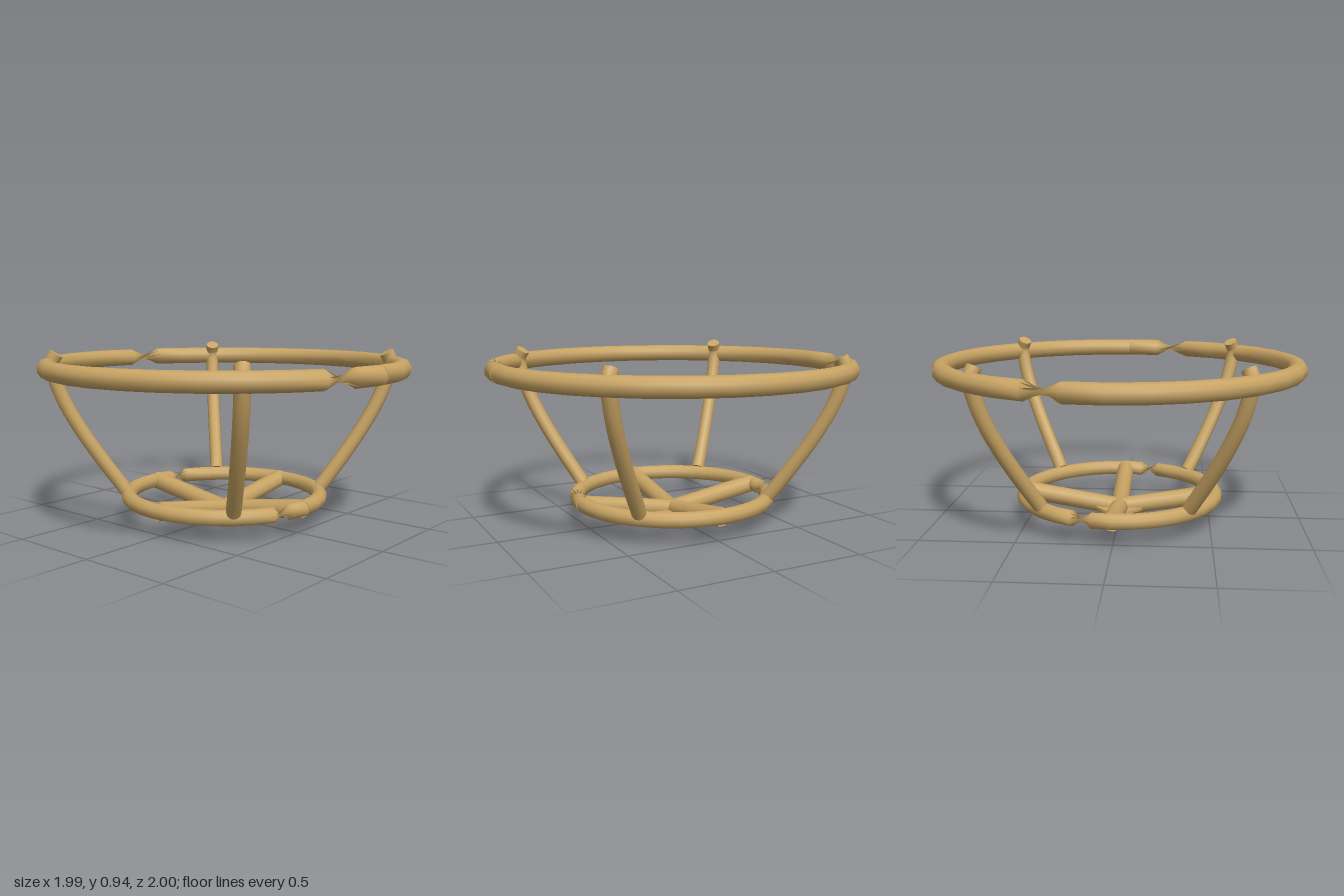
import * as THREE from 'three';

const SIDES = 10;
const material = new THREE.MeshStandardMaterial({ color: 0xc8a464, side: THREE.DoubleSide });
const V = (x, y, z) => new THREE.Vector3(x, y, z);

// Capped round bar along a planar path; ref is perpendicular to the path's plane.
// flip(i) may return -1 to turn a section by half a turn.
function bar(name, points, radius, ref, flip = () => 1) {
  const positions = [], index = [], last = points.length - 1;
  points.forEach((p, i) => {
    const tangent = points[Math.min(i + 1, last)].clone().sub(points[Math.max(i - 1, 0)]).normalize();
    const n = ref.clone().multiplyScalar(flip(i));
    const b = tangent.cross(n);
    for (let j = 0; j < SIDES; j++) {
      const t = (j / SIDES) * Math.PI * 2;
      const q = p.clone().addScaledVector(n, radius * Math.cos(t)).addScaledVector(b, radius * Math.sin(t));
      positions.push(q.x, q.y, q.z);
    }
  });
  for (let i = 0; i < last; i++) {
    for (let j = 0; j < SIDES; j++) {
      const k = (j + 1) % SIDES;
      const a = i * SIDES + j, b = i * SIDES + k, c = b + SIDES, d = a + SIDES;
      index.push(a, b, c, a, c, d);
    }
  }
  // End caps with their own vertices, so that the rims stay sharp
  for (const s of [0, last]) {
    const start = positions.length / 3;
    positions.push(...positions.slice(s * SIDES * 3, (s + 1) * SIDES * 3));
    for (let j = 1; j < SIDES - 1; j++) {
      if (s === 0) index.push(start, start + j + 1, start + j);
      else index.push(start, start + j, start + j + 1);
    }
  }
  const geometry = new THREE.BufferGeometry();
  geometry.setAttribute('position', new THREE.Float32BufferAttribute(positions, 3));
  geometry.setIndex(index);
  geometry.computeVertexNormals();
  const mesh = new THREE.Mesh(geometry, material);
  mesh.name = name;
  return mesh;
}

// Ring of 32 segments, pinched by a half twist at two opposite segments
function ring(name, R, radius, y) {
  const points = [];
  for (let i = 0; i <= 32; i++) {
    const a = (i / 32) * Math.PI * 2;
    points.push(V(R * Math.cos(a), y, R * Math.sin(a)));
  }
  return bar(name, points, radius, V(0, 1, 0), (i) => (i >= 2 && i <= 17 ? 1 : -1));
}

export function createModel() {
  const group = new THREE.Group();
  group.name = 'basketFrame';

  group.add(ring('topRing', 0.95, 0.05, 0.85));
  group.add(ring('bottomRing', 0.53, 0.042, 0.137));

  // Four curved struts on the diagonals, hooked inward at the top
  const profile = [[0.385, 0.165], [0.475, 0.34], [0.55, 0.5], [0.612, 0.66], [0.648, 0.8], [0.656, 0.87], [0.638, 0.92]];
  for (const sx of [1, -1]) {
    for (const sz of [1, -1]) {
      const curve = new THREE.CatmullRomCurve3(profile.map(([d, y]) => V(sx * d, y, sz * d)));
      group.add(bar('strut', curve.getPoints(18), 0.039, V(sz, 0, -sx).normalize()));
    }
  }

  // Two crossed base bars that dip to the centre
  const dip = [[-0.53, 0.137], [0, 0.05], [0.53, 0.137]];
  group.add(bar('crossBarX', dip.map(([d, y]) => V(d, y, 0)), 0.05, V(0, 0, 1)));
  group.add(bar('crossBarZ', dip.map(([d, y]) => V(0, y, d)), 0.05, V(1, 0, 0)));

  // Thin octagonal hub plate
  const hub = new THREE.Mesh(new THREE.CylinderGeometry(0.14, 0.14, 0.015, 8).rotateY(Math.PI / 8), material);
  hub.name = 'hubPlate';
  hub.position.y = 0.052;
  group.add(hub);

  return group;
}
